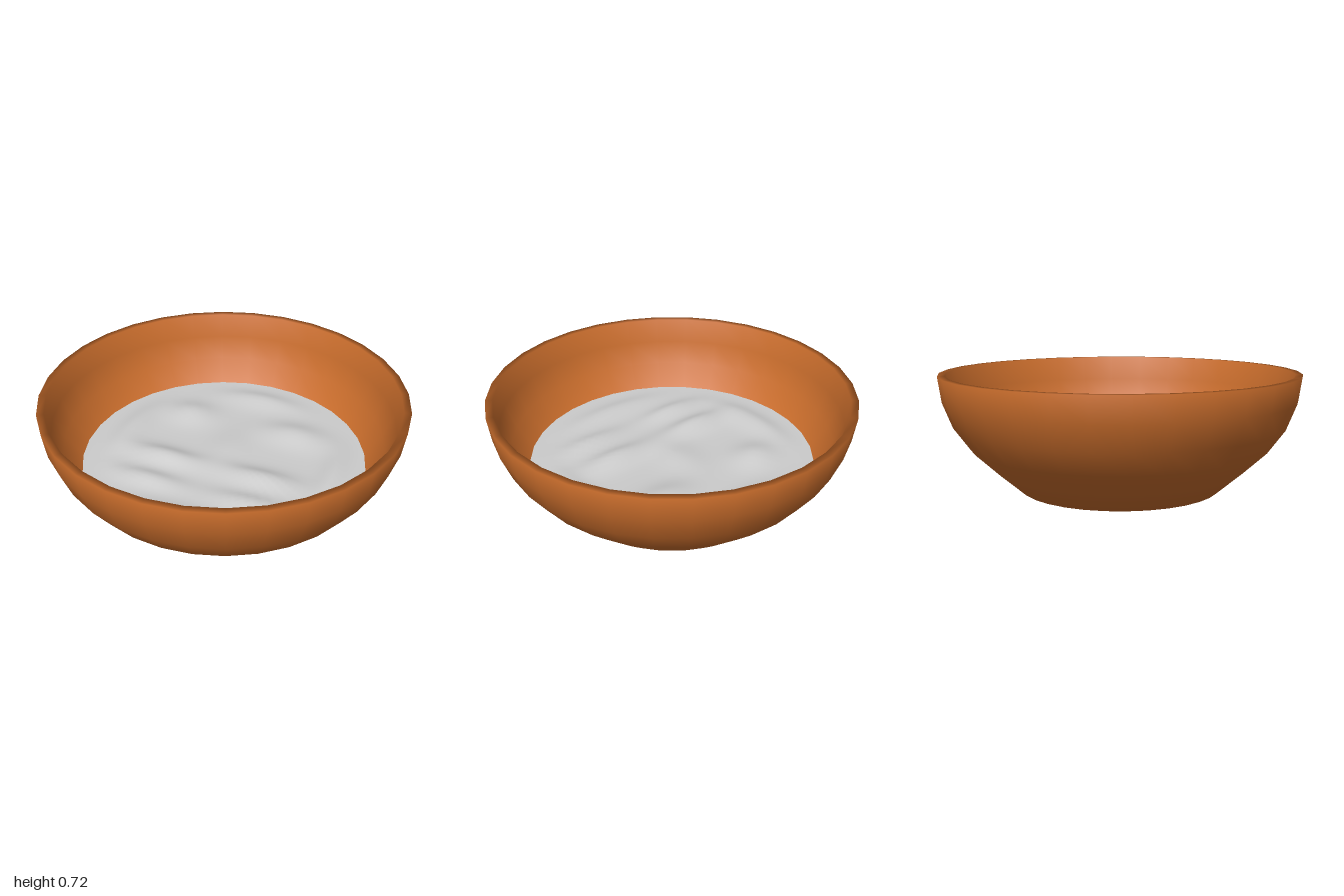
import * as THREE from 'three';
import { mergeVertices } from 'three/addons/utils/BufferGeometryUtils.js';

// Gentle mounds on the filling: x, z, width in x, width in z, height
const MOUNDS = [
  [-0.30, 0.15, 0.22, 0.08, 0.045], [0.28, 0.15, 0.22, 0.08, 0.045],
  [-0.30, 0.37, 0.20, 0.07, 0.035], [0.30, 0.37, 0.22, 0.07, 0.035],
  [-0.34, -0.32, 0.14, 0.11, 0.04], [0.32, -0.32, 0.18, 0.11, 0.04],
  [0.0, -0.62, 0.25, 0.10, 0.03], [0.0, -0.05, 0.12, 0.2, 0.02],
  [-0.6, -0.05, 0.1, 0.3, 0.03], [0.64, -0.05, 0.08, 0.3, 0.03],
  [0.0, 0.6, 0.35, 0.09, 0.025],
];

function fillingHeight(x, z) {
  let h = 0;
  for (const [cx, cz, wx, wz, height] of MOUNDS) {
    h += height * Math.exp(-(((x - cx) / wx) ** 2) - ((z - cz) / wz) ** 2);
  }
  // fade the relief out towards the wall
  const fade = 1 - THREE.MathUtils.smoothstep(Math.hypot(x, z), 0.6, 0.8);
  return 0.322 + h * fade;
}

export function createModel() {
  const group = new THREE.Group();

  // Bowl: up the outside, over the flat rim, down the inside
  const profile = [
    [0, 0], [0.2, 0.003], [0.38, 0.03], [0.56, 0.07], [0.7, 0.19], [0.83, 0.31],
    [0.925, 0.44], [0.98, 0.58], [1, 0.72], [0.96, 0.72], [0.94, 0.58],
    [0.885, 0.45], [0.795, 0.32], [0.66, 0.21], [0.53, 0.11], [0, 0.05],
  ].map(([r, y]) => new THREE.Vector2(r, y));
  const bowl = new THREE.Mesh(
    new THREE.LatheGeometry(profile, 32),
    new THREE.MeshStandardMaterial({ color: 0xc96d2c }),
  );
  bowl.name = 'bowl';
  group.add(bowl);

  // Filling: a disc with soft relief, its edge sunk slightly into the wall
  let disc = new THREE.RingGeometry(0.001, 0.808, 64, 28).rotateX(-Math.PI / 2);
  disc.deleteAttribute('uv');
  disc.deleteAttribute('normal');
  disc = mergeVertices(disc, 1e-5);
  const pos = disc.attributes.position;
  for (let i = 0; i < pos.count; i++) {
    pos.setY(i, fillingHeight(pos.getX(i), pos.getZ(i)));
  }
  disc.computeVertexNormals();
  const filling = new THREE.Mesh(
    disc,
    new THREE.MeshStandardMaterial({ color: 0xcccccc, side: THREE.DoubleSide }),
  );
  filling.name = 'filling';
  group.add(filling);

  return group;
}
